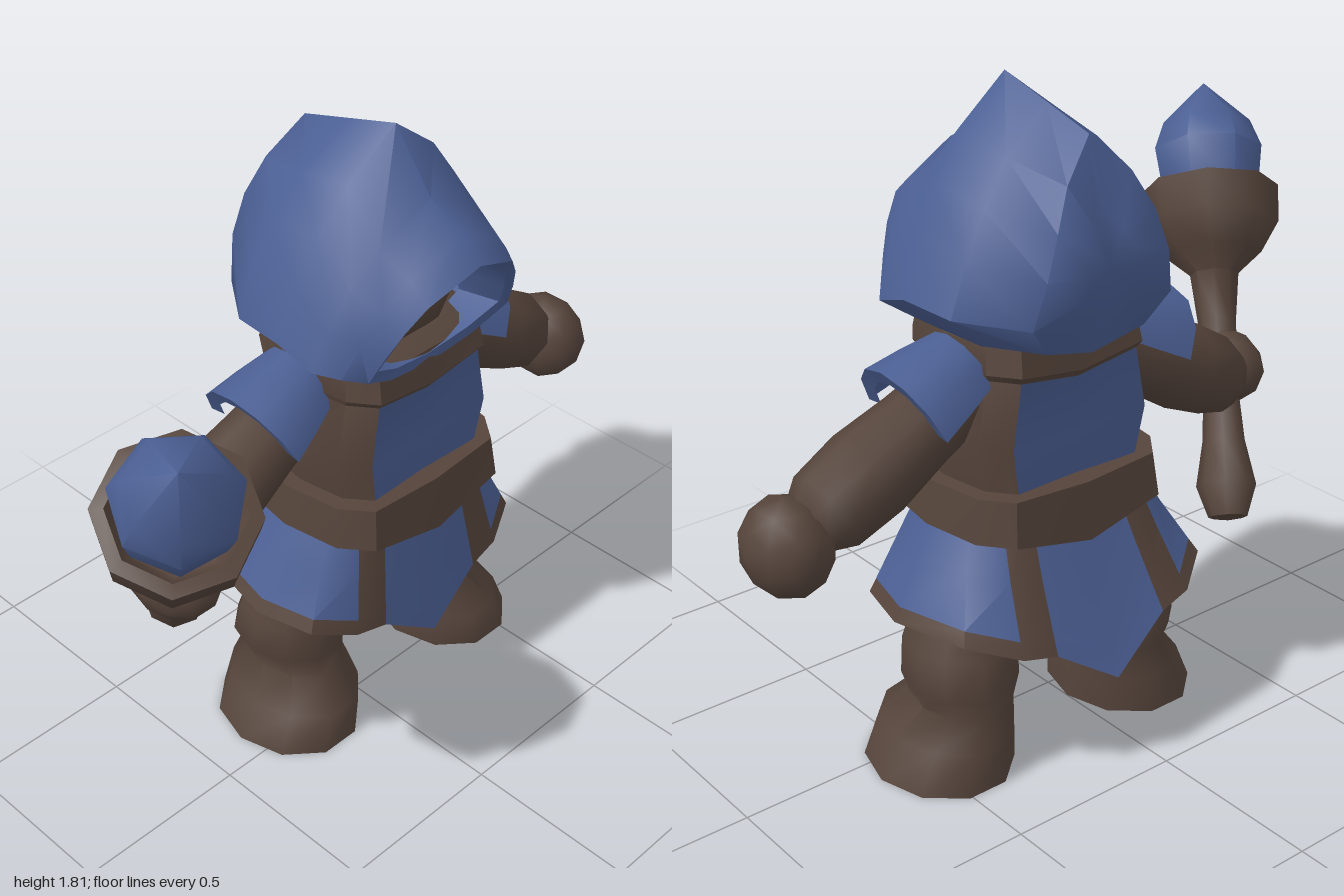
import * as THREE from 'three';
import { toCreasedNormals } from 'three/addons/utils/BufferGeometryUtils.js';

const blue = new THREE.MeshStandardMaterial({ color: 0x4b5f93, side: THREE.DoubleSide });
const brown = new THREE.MeshStandardMaterial({ color: 0x55443b, side: THREE.DoubleSide });
blue.name = 'blue cloth';
brown.name = 'brown leather';
const CX = -0.07, CZ = -0.13; // vertical axis of the body

// Skin between rings of points; pick(row, column) gives 0 for brown, 1 for blue
function loft(name, rings, pick, { capStart = false, capEnd = false, crease = 0.75 } = {}) {
  const n = rings[0].length, pos = rings.flat(2), faces = [[], []];
  const id = (i, j) => i * n + (j % n);
  for (let i = 0; i < rings.length - 1; i++) {
    for (let j = 0; j < n; j++) {
      const a = id(i, j), b = id(i, j + 1), c = id(i + 1, j), d = id(i + 1, j + 1);
      faces[pick(i, j)].push(a, c, b, b, c, d);
    }
  }
  const cap = (i, end) => {
    const mid = [0, 1, 2].map(k => rings[i].reduce((s, p) => s + p[k], 0) / n);
    const m = pos.length / 3;
    pos.push(...mid);
    for (let j = 0; j < n; j++) {
      const a = id(i, j), b = id(i, j + 1);
      faces[pick(Math.min(i, rings.length - 2), j)].push(m, end ? b : a, end ? a : b);
    }
  };
  if (capStart) cap(0, false);
  if (capEnd) cap(rings.length - 1, true);
  const geo = new THREE.BufferGeometry();
  geo.setAttribute('position', new THREE.Float32BufferAttribute(pos, 3));
  geo.setIndex(faces.flat());
  if (faces[0].length) geo.addGroup(0, faces[0].length, 0);
  if (faces[1].length) geo.addGroup(faces[0].length, faces[1].length, 1);
  const mesh = new THREE.Mesh(toCreasedNormals(geo, crease), [brown, blue]);
  mesh.name = name;
  return mesh;
}

// Turned part along the line from a to b; profile is [radius, distance]
function turned(name, mat, a, b, profile, sides = 8, start = 0, arc = Math.PI * 2) {
  const geo = new THREE.LatheGeometry(profile.map(p => new THREE.Vector2(...p)), sides, start, arc);
  const mesh = new THREE.Mesh(toCreasedNormals(geo, 0.95), mat);
  const from = new THREE.Vector3(...a), dir = new THREE.Vector3(...b).sub(from).normalize();
  mesh.quaternion.setFromUnitVectors(new THREE.Vector3(0, 1, 0), dir);
  mesh.position.copy(from);
  mesh.name = name;
  return mesh;
}

function ellipse(y, x0, x1, z0, z1, n = 10) {
  return Array.from({ length: n }, (_, j) => {
    const t = (j / n) * Math.PI * 2 + Math.PI / n;
    return [(x0 + x1) / 2 + (x1 - x0) / 2 * Math.cos(t), y, (z0 + z1) / 2 + (z1 - z0) / 2 * Math.sin(t)];
  });
}

// Full ring from a half profile on the +z side, mirrored about the body axis
function mirrored(half) {
  const back = half.slice(1, -1).reverse().map(([x, y, z]) => [x, y, -z]);
  return [...half, ...back].map(([x, y, z]) => [x, y, z + CZ]);
}

function ball(name, x, y, z, radii) {
  const mesh = new THREE.Mesh(toCreasedNormals(new THREE.IcosahedronGeometry(1, 1), 0.8), brown);
  mesh.position.set(x, y, z);
  mesh.scale.set(...radii);
  mesh.name = name;
  return mesh;
}

// Hood cross-section: pear outline from the ridge down to a pointed chin
function hoodRing([topX, topY, lowX, lowY, width, bulge, roundness]) {
  const outline = [[0, 1], [0.42, 0.82], [0.67, 0.64], [0.86, 0.44], [1, 0.22], [0.73, 0.07], [0, 0]];
  return mirrored(outline.map(([w, h]) => [
    lowX + (topX - lowX) * h + bulge * Math.sin(Math.PI * h),
    lowY + (topY - lowY) * h,
    width * w ** (h < 0.1 ? 1 / roundness : roundness)]));
}

export function createModel() {
  const g = new THREE.Group();
  g.name = 'hoodedFigure';

  // Torso and belt share one twelve-sided outline; the torso panels are recessed
  const bodyRing = inset => ([y, hx, hz, dip = 0]) => {
    const outline = [[inset, 0], [0.97, 0.72], [0.65, 0.92], [0, 1], [-0.65, 0.92], [-0.97, 0.72], [-inset, 0]];
    return mirrored(outline.map(([u, v]) => [CX + u * hx, y - (v === 0 ? dip : 0), v * hz]));
  };
  const panel = j => [0, 5, 6, 11].includes(j);
  g.add(loft('torso', [[0.66, 0.21, 0.27], [0.82, 0.215, 0.27], [0.95, 0.225, 0.3],
    [1.12, 0.22, 0.26, 0.03], [1.14, 0.235, 0.27, 0.03], [1.21, 0.22, 0.26], [1.26, 0.14, 0.16]].map(bodyRing(0.94)),
  (i, j) => (i < 3 && panel(j) ? 1 : 0), { capEnd: true }));
  g.add(loft('belt', [[0.71, 0.22, 0.28, 0.05], [0.7, 0.265, 0.33, 0.05], [0.82, 0.25, 0.315, 0.01],
    [0.82, 0.2, 0.26]].map(bodyRing(1)), () => 0));

  // Skirt with pointed front and back tabards, brown strips, hem and lining
  const waist = [[0.19, 0.74, 0], [0.19, 0.74, 0.14], [0.175, 0.74, 0.22], [0.11, 0.74, 0.27], [0, 0.74, 0.3]];
  const hem = [[0.26, 0.27, 0], [0.24, 0.39, 0.18], [0.23, 0.41, 0.28], [0.17, 0.45, 0.4], [0, 0.45, 0.44]];
  const skirtRing = t => {
    const q = waist.map((p, k) => p.map((v, a) => v + (hem[k][a] - v) * t));
    const front = q.map(([x, y, z]) => [CX + x, y, z]);
    const rear = q.slice(0, -1).reverse().map(([x, y, z]) => [CX - x * (1 + 0.45 * t), y + 0.02 * t, z]);
    return mirrored([...front, ...rear]);
  };
  const lining = skirtRing(0.8).map(([x, y, z]) => [CX + (x - CX) * 0.85, y, CZ + (z - CZ) * 0.85]);
  const strip = j => [1, 6, 9, 14].includes(j);
  const tabard = j => [0, 7, 8, 15].includes(j);
  g.add(loft('skirt', [lining, ...[1, 0.87, 0.45, 0].map(skirtRing)],
    (i, j) => (i === 0 || strip(j) || (i === 1 && !tabard(j)) ? 0 : 1)));
  g.add(loft('hips', [ellipse(0.46, -0.22, 0.07, -0.41, 0.15), ellipse(0.52, -0.28, 0.11, -0.46, 0.2),
    ellipse(0.72, -0.25, 0.1, -0.38, 0.12)], () => 0, { capStart: true }));

  // Hood from inside the opening, over the rim and peak, to the back
  g.add(loft('hood', [
    [0.08, 1.5, 0.05, 1.2, 0.2, 0, 0.6],
    [0.27, 1.515, 0.14, 1.2, 0.225, 0.01, 0.6],
    [0.3, 1.53, 0.14, 1.17, 0.26, 0, 0.6],
    [0.24, 1.59, 0.1, 1.17, 0.31, 0, 0.8],
    [0.13, 1.65, 0.05, 1.17, 0.355, 0, 0.9],
    [0.01, 1.81, -0.06, 1.17, 0.36, 0, 1],
    [-0.15, 1.765, -0.2, 1.17, 0.34, -0.03, 1],
    [-0.31, 1.72, -0.33, 1.17, 0.22, -0.07, 0.9],
    [-0.37, 1.55, -0.38, 1.29, 0.09, -0.04, 1],
  ].map(hoodRing), () => 1, { capEnd: true, crease: 1 }));
  g.add(ball('head', -0.04, 1.35, CZ, [0.18, 0.175, 0.225]));

  for (const s of [1, -1]) {
    const side = s > 0 ? 'right' : 'left';
    const at = (x, y, z) => [x, y, CZ + s * z];

    // Leg with bulging trousers and boot: height, x range, z range from the body axis
    const rings = [[0, -0.31, 0.14, 0.13, 0.51], [0.11, -0.3, 0.13, 0.13, 0.46], [0.19, -0.28, 0.05, 0.14, 0.39],
      [0.26, -0.3, 0.05, 0.13, 0.42], [0.36, -0.27, 0.05, 0.11, 0.41], [0.44, -0.23, 0.04, 0.11, 0.37],
      [0.58, -0.21, 0.04, 0.08, 0.33]];
    g.add(loft(side + 'Leg', rings.map(([y, x0, x1, z0, z1]) => {
      const [a, b] = [CZ + s * z0, CZ + s * z1].sort((p, q) => p - q);
      return ellipse(y, x0, x1, a, b);
    }), () => 0, { capStart: true, crease: 1.2 }));

    // Sleeve and open shoulder cap
    g.add(turned(side + 'Arm', brown, at(-0.1, 1.08, 0.2), at(-0.1, 0.845, 0.66),
      [[0, -0.02], [0.1, 0], [0.11, 0.2], [0.125, 0.36], [0.115, 0.5], [0.08, 0.56], [0, 0.58]]));
    const arc = Math.PI, up = s > 0 ? Math.PI : 0;
    g.add(turned(side + 'ShoulderCap', blue, at(-0.1, 1.11, 0.22), at(-0.1, 1.015, 0.41),
      [[0.12, 0], [0.145, 0.1], [0.165, 0.2], [0.12, 0.195]], 6, up - arc / 2, arc));
  }
  g.add(ball('leftHand', -0.09, 0.79, -0.885, [0.135, 0.13, 0.115]));
  g.add(ball('rightHand', -0.01, 0.825, 0.635, [0.14, 0.11, 0.11]));

  // Staff with a flared cup holding a crystal
  const low = [-0.22, 0.5, 0.475], high = [0.235, 1.265, 0.805];
  g.add(turned('staff', brown, low, high, [[0, -0.04], [0.055, -0.03], [0.085, 0.06], [0.06, 0.19], [0.05, 0.34],
    [0.055, 0.54], [0.07, 0.68], [0.14, 0.74], [0.195, 0.83], [0.2, 0.94], [0.165, 0.95], [0.13, 0.86], [0, 0.82]]));
  g.add(turned('crystal', blue, low, high, [[0, 0.83], [0.14, 0.91], [0.16, 1.06], [0.13, 1.14], [0, 1.27]], 7));
  return g;
}
